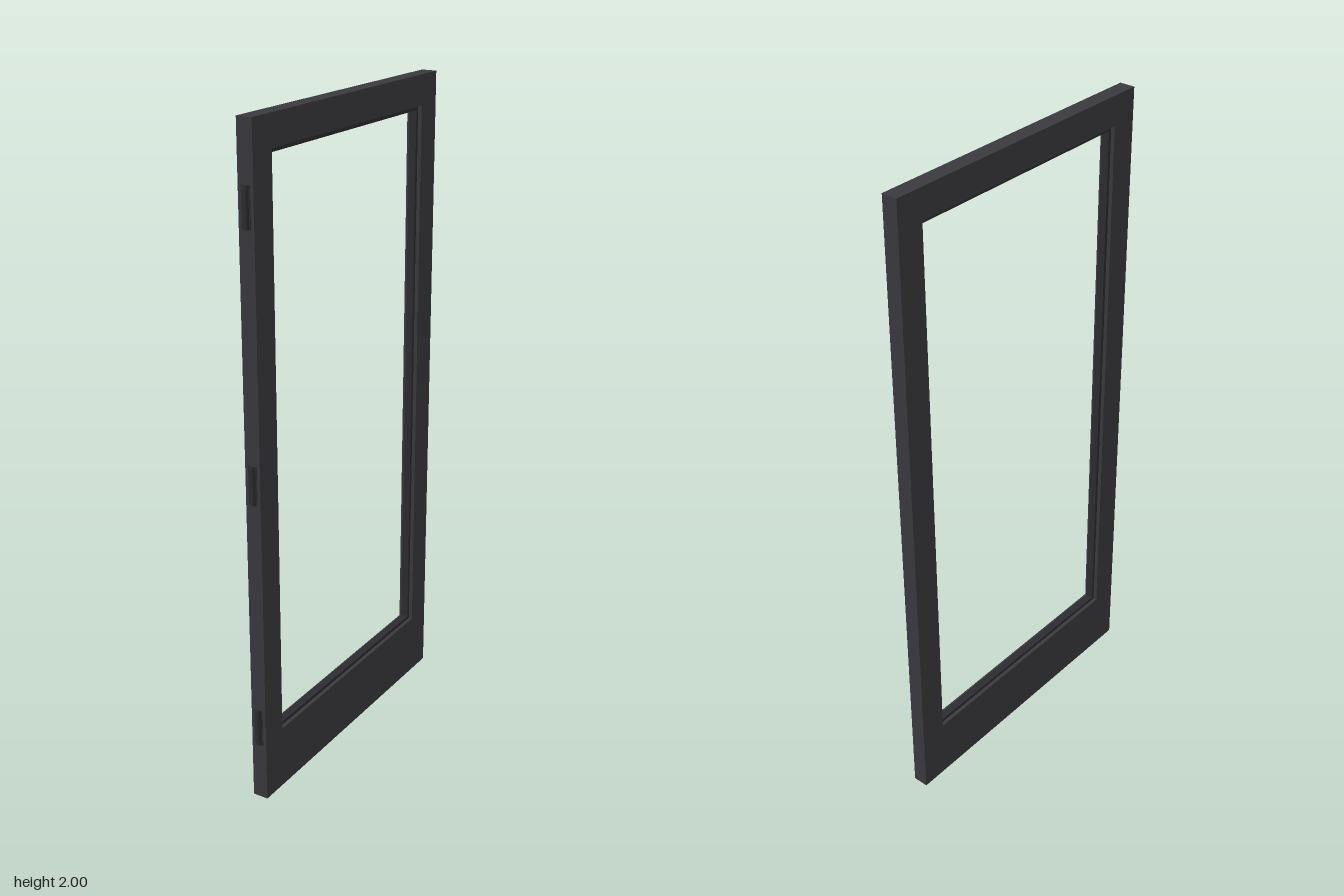
import * as THREE from 'three';

export function createModel() {
  const group = new THREE.Group();
  group.name = 'doorLeaf';
  const frameMat = new THREE.MeshStandardMaterial({ color: 0x3a393e });
  frameMat.name = 'charcoal frame';
  const trimMat = new THREE.MeshStandardMaterial({ color: 0x2c2b2f });
  trimMat.name = 'dark trim';

  const add = (name, geometry, material, x = 0, y = 0, z = 0) => {
    const mesh = new THREE.Mesh(geometry, material);
    mesh.name = name;
    mesh.position.set(x, y, z);
    group.add(mesh);
  };

  // Rectangular ring in the z-y plane, extruded along x; rect = [z0, y0, z1, y1]
  const corners = ([z0, y0, z1, y1]) =>
    [[z1, y0], [z0, y0], [z0, y1], [z1, y1]].map(([z, y]) => new THREE.Vector2(-z, y));
  const ring = (outer, inner, depth) => {
    const shape = new THREE.Shape(corners(outer));
    shape.holes.push(new THREE.Path(corners(inner)));
    return new THREE.ExtrudeGeometry(shape, { depth, bevelEnabled: false })
      .translate(0, 0, -depth / 2)
      .rotateY(Math.PI / 2);
  };

  const opening = [-0.395, 0.195, 0.389, 1.91];
  const clear = [-0.385, 0.205, 0.379, 1.896];

  // Stiles and rails, with a deeper bottom rail
  add('frame', ring([-0.481, 0, 0.474, 2], opening, 0.048), frameMat);

  // Recessed glazing stop around the opening
  add('glazingStop', ring(opening, clear, 0.024), trimMat);

  // Three hinges on the front edge: thin leaf plate and round knuckle
  for (const y of [0.24, 1.005, 1.772]) {
    add('hingeLeaf', new THREE.BoxGeometry(0.028, 0.116, 0.004), trimMat, 0, y, 0.473);
    add('hingeKnuckle', new THREE.CylinderGeometry(0.01, 0.01, 0.116, 24), trimMat, 0, y, 0.472);
  }
  return group;
}
